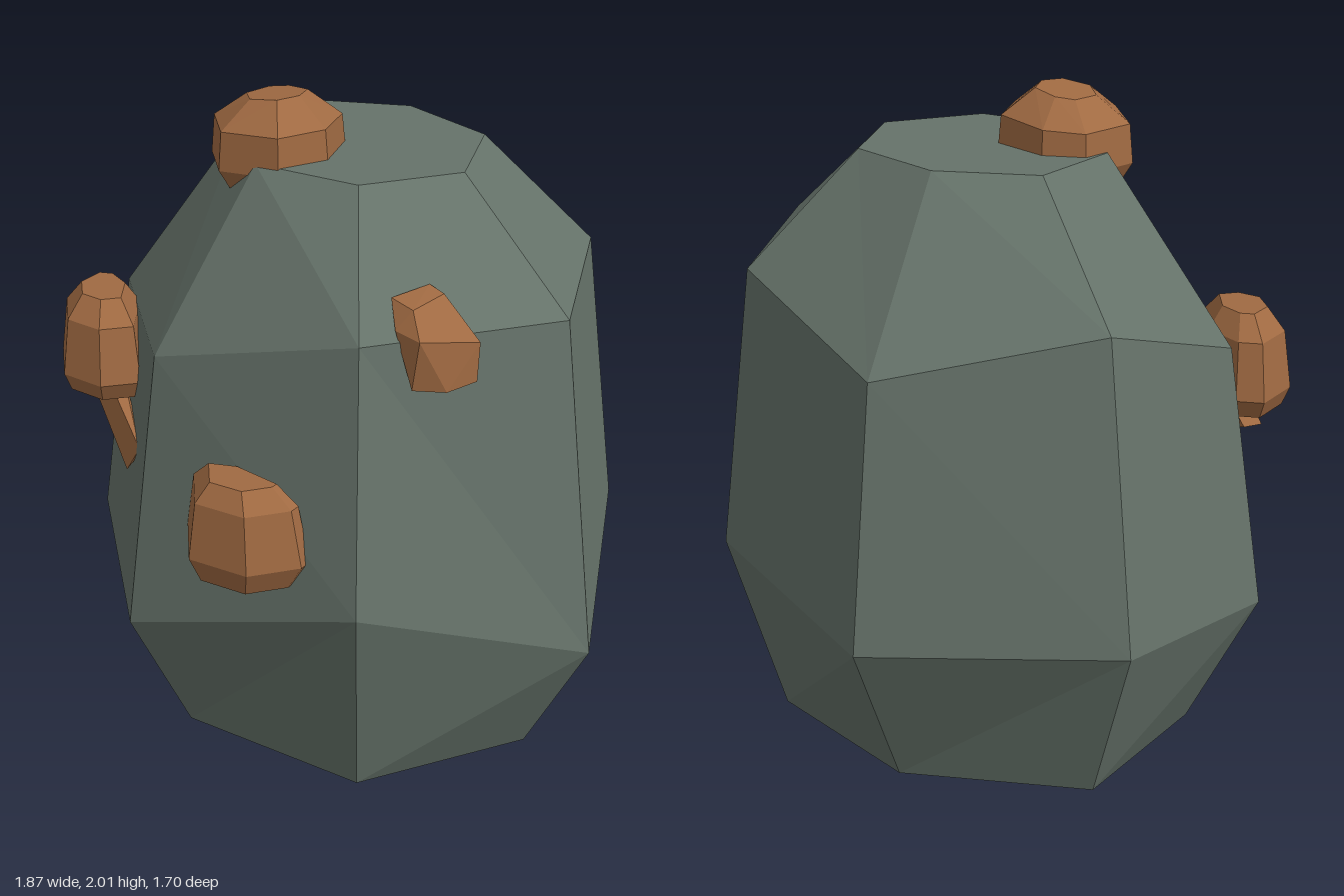
import * as THREE from 'three';
import { ConvexGeometry } from 'three/addons/geometries/ConvexGeometry.js';

const stone = new THREE.MeshStandardMaterial({ color: 0x66736a, flatShading: true });
const copper = new THREE.MeshStandardMaterial({ color: 0xa06a42, flatShading: true });

// Seven-sided rings from the ground up, each point [x, y, z], counterclockwise from above
const RINGS = [
  [[-0.10, 0, 0.62], [0.52, 0, 0.46], [0.70, 0, -0.09], [0.35, 0, -0.57],
    [-0.25, 0, -0.61], [-0.73, 0, -0.25], [-0.60, 0, 0.31]],
  [[-0.13, 0.43, 0.82], [0.66, 0.70, 0.59], [0.93, 0.42, -0.12], [0.46, 0.58, -0.71],
    [-0.33, 0.51, -0.85], [-0.94, 0.54, -0.32], [-0.80, 0.44, 0.41]],
  [[-0.11, 1.31, 0.70], [0.55, 1.50, 0.48], [0.80, 1.49, -0.11], [0.40, 1.48, -0.63],
    [-0.30, 1.33, -0.75], [-0.80, 1.48, -0.28], [-0.70, 1.27, 0.35]],
  [[-0.06, 1.84, 0.34], [0.27, 1.84, 0.23], [0.40, 1.84, -0.07], [0.21, 1.84, -0.34],
    [-0.13, 1.84, -0.35], [-0.39, 1.84, -0.15], [-0.34, 1.84, 0.17]],
];

function boulderGeometry() {
  const n = 7, pos = [];
  const tri = (a, b, c) => pos.push(...a, ...b, ...c);
  for (let r = 0; r < 3; r++) {
    for (let i = 0; i < n; i++) {
      const j = (i + 1) % n;
      const a = RINGS[r][i], b = RINGS[r][j], c = RINGS[r + 1][j], d = RINGS[r + 1][i];
      if (r === 0) { tri(a, b, c); tri(a, c, d); } else { tri(a, b, d); tri(b, c, d); }
    }
  }
  // flat top and base
  for (let i = 1; i < n - 1; i++) {
    tri(RINGS[3][0], RINGS[3][i], RINGS[3][i + 1]);
    tri(RINGS[0][0], RINGS[0][i + 1], RINGS[0][i]);
  }
  const g = new THREE.BufferGeometry();
  g.setAttribute('position', new THREE.Float32BufferAttribute(pos, 3));
  g.computeVertexNormals();
  return g;
}

// Faceted solid around a handful of corners
const hull = (pts) => new ConvexGeometry(pts.map((p) => new THREE.Vector3(...p)));

// Nugget: a plan outline [x, z] repeated at levels [y, scale], leaning in y by tilt * x
function nugget(outline, cx, cz, levels, tilt = 0) {
  const pts = [];
  for (const [y, s] of levels) {
    for (const [x, z] of outline) {
      pts.push([cx + (x - cx) * s, y + tilt * (x - cx), cz + (z - cz) * s]);
    }
  }
  return hull(pts);
}

export function createModel() {
  const group = new THREE.Group();
  const add = (name, geometry, material) => {
    const mesh = new THREE.Mesh(geometry, material);
    mesh.name = name;
    group.add(mesh);
  };

  add('boulder', boulderGeometry(), stone);

  // three large nuggets
  add('topNugget', nugget(
    [[-0.34, 0.08], [-0.23, 0.00], [-0.03, 0.01], [0.06, 0.16], [0.02, 0.32], [-0.17, 0.39], [-0.34, 0.28]],
    -0.15, 0.18, [[2.0, 0.45], [1.92, 0.95], [1.80, 1], [1.73, 0.8]], 0.06), copper);
  add('leftHandNugget', nugget(
    [[-0.77, 0.43], [-0.70, 0.38], [-0.53, 0.41], [-0.36, 0.57], [-0.42, 0.68], [-0.57, 0.71], [-0.73, 0.60]],
    -0.57, 0.54, [[1.34, 0.5], [1.27, 0.85], [1.09, 1], [1.03, 0.85]]), copper);
  add('frontNugget', nugget(
    [[0.05, 0.72], [0.18, 0.63], [0.47, 0.60], [0.48, 0.64], [0.41, 0.79], [0.22, 0.85]],
    0.27, 0.70, [[1.06, 0.55], [1.0, 0.85], [0.82, 1], [0.74, 0.78]]), copper);

  // small nugget high on the side
  add('sideNugget', hull([
    [0.52, 1.60, 0.33], [0.54, 1.61, 0.20], [0.60, 1.60, 0.20], [0.61, 1.59, 0.33],
    [0.62, 1.53, 0.16], [0.72, 1.48, 0.17], [0.67, 1.52, 0.36], [0.58, 1.53, 0.37],
    [0.64, 1.36, 0.36], [0.72, 1.36, 0.18], [0.70, 1.35, 0.28], [0.63, 1.37, 0.18]]), copper);

  // flat splinter and small spike below the nuggets
  add('splinter', hull([
    [-0.68, 0.97, 0.53], [-0.62, 1.05, 0.53], [-0.66, 0.97, 0.47], [-0.60, 1.04, 0.47],
    [-0.26, 0.93, 0.66], [-0.33, 0.83, 0.66], [-0.28, 0.91, 0.63]]), copper);
  add('spike', hull([
    [0.13, 0.76, 0.73], [0.22, 0.76, 0.74], [0.18, 0.76, 0.67], [0.17, 0.66, 0.72]]), copper);

  return group;
}
